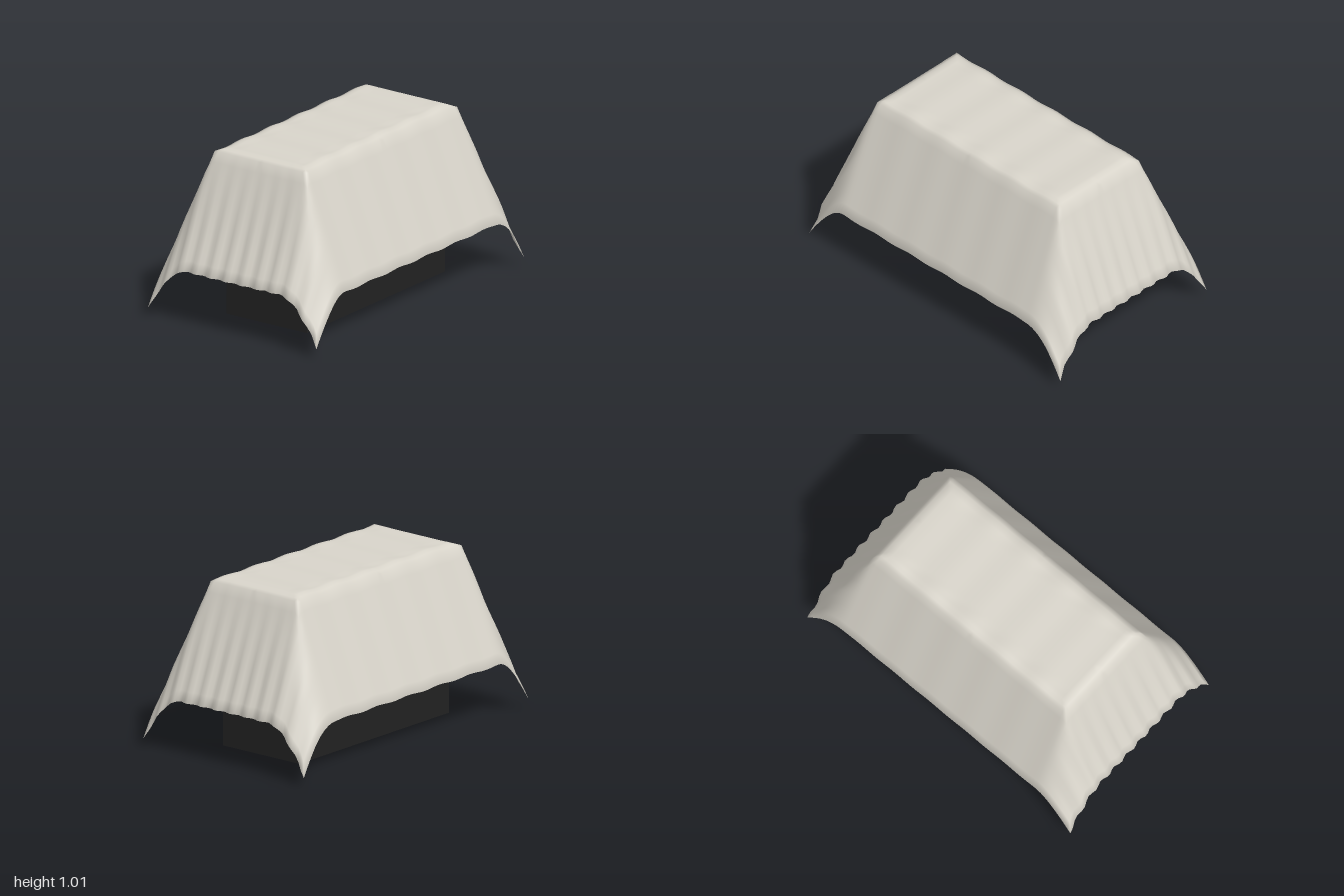
import * as THREE from 'three';

const NX = 80, NZ = 48;          // cloth grid
const W = 2, D = 1.2;            // cloth footprint
const TOP_X = 0.725, TOP_Z = 0.325; // half size of the flat top

// Position of one point of the draped cloth
function drape(x, z) {
  const ax = Math.abs(x), az = Math.abs(z);
  const dx = Math.max(0, ax - TOP_X), dz = Math.max(0, az - TOP_Z);
  const d = Math.hypot(dx, dz);
  // soft shoulder around the top, then a cone-like fall to the hem
  const inside = THREE.MathUtils.clamp(Math.min(TOP_X - ax, TOP_Z - az) / 0.05, 0, 1);
  let y = 0.99 + 0.02 * inside - 2.4 * d;
  // shallow folds
  y += 0.004 * Math.sin(x * 23) * (az > 0.2 ? 1 : 0.5);
  const fold = Math.min(1, dx / 0.2);
  const px = x - Math.sign(x) * fold * 0.008 * (1 + Math.sin(z * 58 + 1.2));
  return [px, y, z];
}

// Thin cloth: outer and inner sheets joined at a shared hem
function clothGeometry() {
  const pos = [], index = [], outer = [], inner = [];
  for (let j = 0; j <= NZ; j++) {
    for (let i = 0; i <= NX; i++) {
      const [x, y, z] = drape((i / NX - 0.5) * W, (j / NZ - 0.5) * D);
      const hem = i === 0 || j === 0 || i === NX || j === NZ;
      outer.push(pos.length / 3);
      pos.push(x, y, z);
      if (!hem) {
        inner.push(pos.length / 3);
        pos.push(x, y - 0.015, z);
      } else inner.push(outer[outer.length - 1]);
    }
  }
  for (let j = 0; j < NZ; j++) {
    for (let i = 0; i < NX; i++) {
      const a = j * (NX + 1) + i, b = a + 1, c = a + NX + 1, e = c + 1;
      // diagonals run outward from the middle so all corners match
      const tris = (i < NX / 2) === (j < NZ / 2)
        ? [[a, c, e], [a, e, b]]
        : [[a, c, b], [b, c, e]];
      for (const [p, q, r] of tris) {
        index.push(outer[p], outer[q], outer[r]);
        index.push(inner[p], inner[r], inner[q]);
      }
    }
  }
  const g = new THREE.BufferGeometry();
  g.setAttribute('position', new THREE.Float32BufferAttribute(pos, 3));
  g.setIndex(index);
  g.computeVertexNormals();
  return g;
}

export function createModel() {
  const linen = new THREE.MeshStandardMaterial({ color: 0xd8d4ca });
  linen.name = 'linen';
  const black = new THREE.MeshStandardMaterial({ color: 0x222222 });
  black.name = 'black';

  const group = new THREE.Group();
  group.name = 'coveredBox';

  // Box standing under the cloth
  const box = new THREE.Mesh(new THREE.BoxGeometry(1.33, 0.96, 0.57), black);
  box.name = 'box';
  box.position.y = 0.48;
  group.add(box);

  const cloth = new THREE.Mesh(clothGeometry(), linen);
  cloth.name = 'cloth';
  group.add(cloth);
  return group;
}
